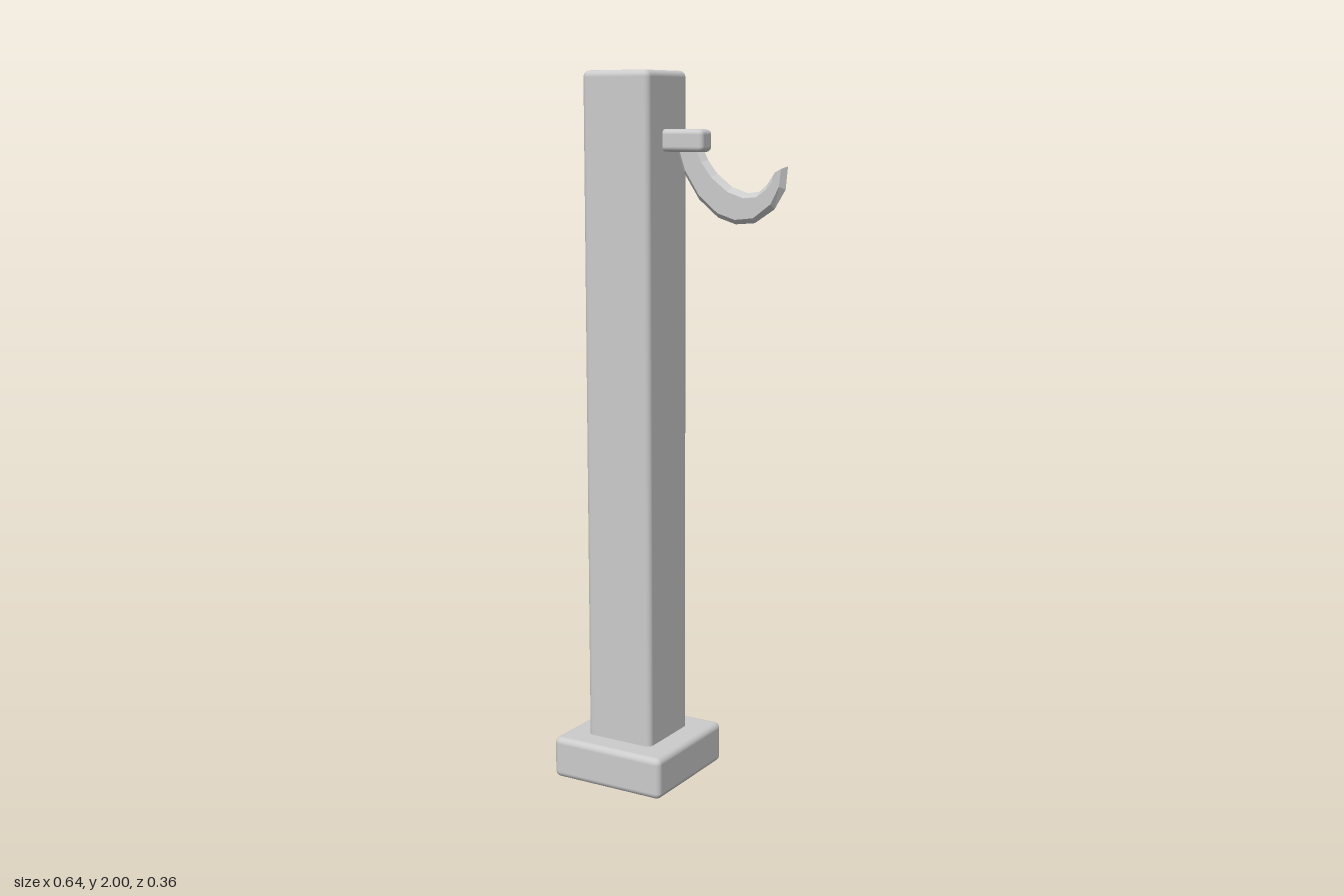
import * as THREE from 'three';
import { RoundedBoxGeometry } from 'three/addons/geometries/RoundedBoxGeometry.js';

const grey = new THREE.MeshStandardMaterial({ color: 0xcccccc });
const faceted = new THREE.MeshStandardMaterial({ color: 0xcccccc, flatShading: true });

// Soft-edged block given by its limits, centred on z = 0
function block(name, x0, x1, y0, y1, depth, radius) {
  const mesh = new THREE.Mesh(new RoundedBoxGeometry(x1 - x0, y1 - y0, depth, 3, radius), grey);
  mesh.position.set((x0 + x1) / 2, (y0 + y1) / 2, 0);
  mesh.name = name;
  return mesh;
}

// Hook: six-sided section with a ridge along its outer and inner edges
function hookGeometry() {
  // each row: outer x, y, inner x, y
  const rows = [
    [-0.015, 1.8, 0.065, 1.8],
    [0.008, 1.73, 0.082, 1.765],
    [0.055, 1.66, 0.11, 1.73],
    [0.114, 1.613, 0.156, 1.695],
    [0.167, 1.597, 0.204, 1.68],
    [0.225, 1.602, 0.24, 1.685],
    [0.283, 1.64, 0.262, 1.705],
    [0.315, 1.692, 0.272, 1.72],
    [0.321, 1.752, 0.279, 1.73],
  ];
  const half = 0.016;
  const inset = 0.014;
  const positions = [];
  const indices = [];
  for (const [ox, oy, ix, iy] of rows) {
    const outer = new THREE.Vector3(ox, oy, 0);
    const inner = new THREE.Vector3(ix, iy, 0);
    const step = inner.clone().sub(outer).setLength(inset);
    const o = outer.clone().add(step);
    const i = inner.clone().sub(step);
    positions.push(
      ox, oy, 0, o.x, o.y, half, i.x, i.y, half,
      ix, iy, 0, i.x, i.y, -half, o.x, o.y, -half
    );
  }
  const last = (rows.length - 1) * 6;
  for (let r = 0; r < last; r += 6) {
    for (let j = 0; j < 6; j++) {
      const k = (j + 1) % 6;
      indices.push(r + j, r + 6 + j, r + 6 + k, r + j, r + 6 + k, r + k);
    }
  }
  // end caps
  for (let j = 1; j < 5; j++) {
    indices.push(0, j, j + 1, last, last + j + 1, last + j);
  }
  const geometry = new THREE.BufferGeometry();
  geometry.setAttribute('position', new THREE.Float32BufferAttribute(positions, 3));
  geometry.setIndex(indices);
  const flat = geometry.toNonIndexed();
  flat.computeVertexNormals();
  return flat;
}

export function createModel() {
  const model = new THREE.Group();
  model.name = 'hookPost';

  model.add(block('base', -0.324, 0.032, 0, 0.12, 0.356, 0.018));
  model.add(block('post', -0.252, -0.042, 0.08, 2, 0.21, 0.018));
  model.add(block('bracket', -0.07, 0.08, 1.785, 1.845, 0.06, 0.014));

  const hook = new THREE.Mesh(hookGeometry(), faceted);
  hook.name = 'hook';
  model.add(hook);
  return model;
}
